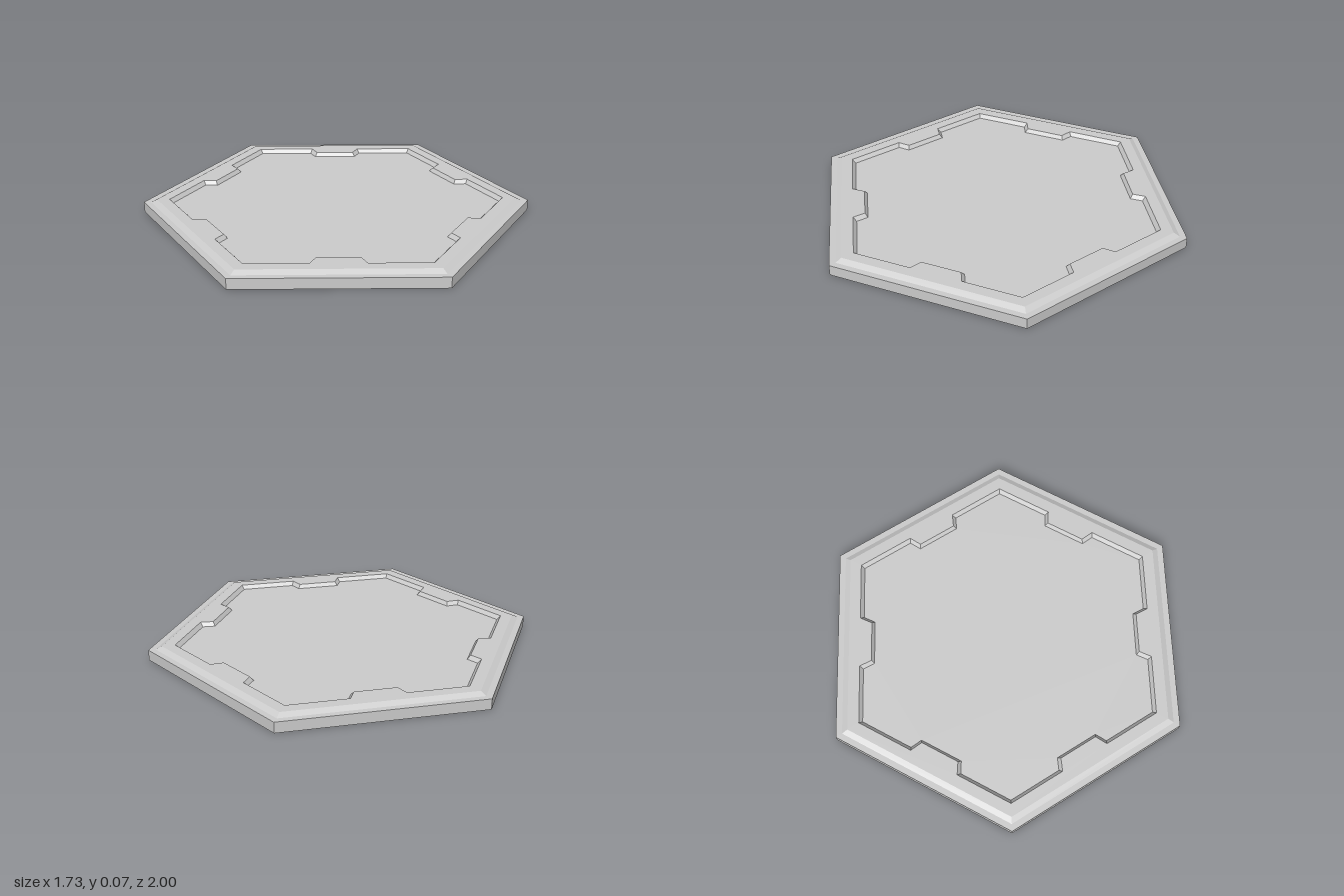
import * as THREE from 'three';

const APOTHEM = Math.cos(Math.PI / 6);

// Repeats one side's (distance, offset along side) points around six sides, anticlockwise from above
function sixSides(points) {
  const loop = [];
  for (let k = 0; k < 6; k++) {
    const c = Math.cos(k * Math.PI / 3), s = Math.sin(k * Math.PI / 3);
    for (const [d, t] of points) loop.push(new THREE.Vector2(d * c - t * s, d * s + t * c));
  }
  return loop;
}

// Plain hexagon, given the distance from centre to side
const hexagon = (d) => sixSides([[d, d * Math.tan(Math.PI / 6)]]);

// Hexagonal outline with a tapered tab pushed inward on every side
function tabbed(d, tabD, outerHalf, innerHalf) {
  return sixSides([
    [d, -outerHalf], [tabD, -innerHalf], [tabD, innerHalf], [d, outerHalf],
    [d, d * Math.tan(Math.PI / 6)],
  ]);
}

// Strip of quads joining two matching outlines
function band(a, ya, b, yb) {
  const pos = [];
  for (let i = 0; i < a.length; i++) {
    const j = (i + 1) % a.length;
    const A = [a[i].x, ya, -a[i].y], B = [a[j].x, ya, -a[j].y];
    const C = [b[j].x, yb, -b[j].y], D = [b[i].x, yb, -b[i].y];
    pos.push(...A, ...B, ...C, ...A, ...C, ...D);
  }
  const g = new THREE.BufferGeometry();
  g.setAttribute('position', new THREE.Float32BufferAttribute(pos, 3));
  g.computeVertexNormals();
  return g;
}

// Flat face, optionally with a hole, facing up or down
function cap(outline, y, hole, down = false) {
  const shape = new THREE.Shape(outline);
  if (hole) shape.holes.push(new THREE.Path(hole));
  return new THREE.ShapeGeometry(shape)
    .rotateX(down ? Math.PI / 2 : -Math.PI / 2)
    .translate(0, y, 0);
}

export function createModel() {
  const group = new THREE.Group();
  group.name = 'hexTile';
  const material = new THREE.MeshStandardMaterial({ color: 0xcccccc, flatShading: true });
  const add = (name, geometry) => {
    const mesh = new THREE.Mesh(geometry, material);
    mesh.name = name;
    group.add(mesh);
  };

  const ledgeY = 0.055, rimY = 0.07, floorY = 0.05;
  const outer = hexagon(APOTHEM);
  const bevelFoot = hexagon(0.835);
  const bevelTop = hexagon(0.807);
  const recessTop = tabbed(0.75, 0.69, 0.132, 0.103);
  const recessFoot = tabbed(0.733, 0.676, 0.142, 0.114);

  // Slab and narrow outer ledge
  add('underside', cap(outer, 0, null, true));
  add('outerWall', band(outer, 0, outer, ledgeY));
  add('ledge', band(outer, ledgeY, bevelFoot, ledgeY));

  // Raised rim with bevelled outside and tabbed inside
  add('rimBevel', band(bevelFoot, ledgeY, bevelTop, rimY));
  add('rimTop', cap(bevelTop, rimY, recessTop));
  add('recessWall', band(recessTop, rimY, recessFoot, floorY));

  // Sunken floor
  add('recessFloor', cap(recessFoot, floorY));
  return group;
}
